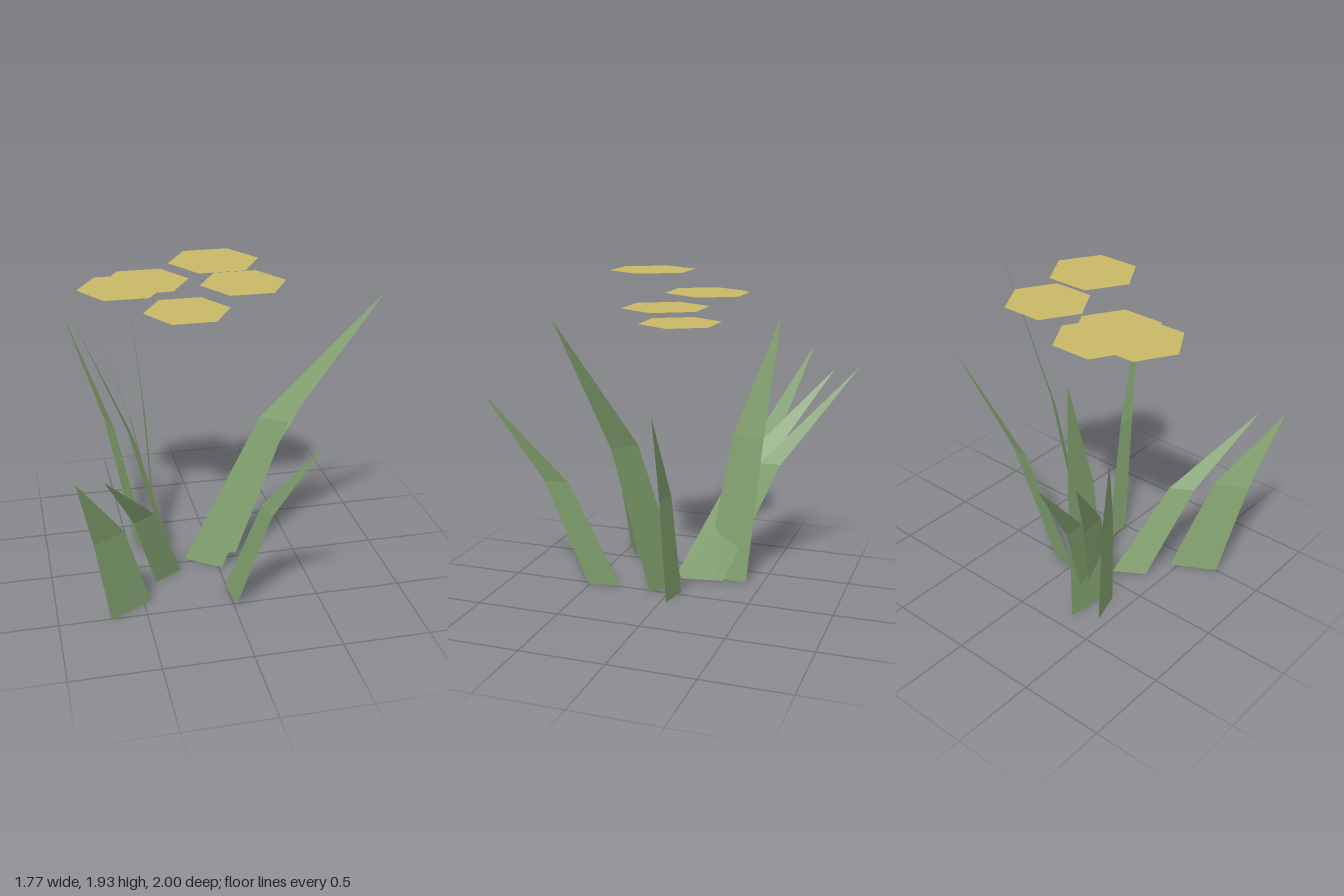
import * as THREE from 'three';

const leafGreen = new THREE.MeshStandardMaterial({ color: 0x84a471, side: THREE.DoubleSide });
leafGreen.name = 'leaf green';
const petalYellow = new THREE.MeshStandardMaterial({ color: 0xc9b867, side: THREE.DoubleSide });
petalYellow.name = 'petal yellow';

// Flat blade: a base edge on the ground, a narrower bent edge partway up, and a pointed tip
function makeBlade([ax, az], [bx, bz], [tx, ty, tz]) {
  const a = new THREE.Vector3(ax, 0, az);
  const b = new THREE.Vector3(bx, 0, bz);
  const tip = new THREE.Vector3(tx, ty, tz);
  const base = a.clone().add(b).multiplyScalar(0.5);
  const half = b.clone().sub(a).multiplyScalar(0.5 * 0.72);
  const mid = base.clone().lerp(tip, 0.41).setY(ty * 0.555);
  const left = mid.clone().sub(half);
  const right = mid.clone().add(half);
  const geometry = new THREE.BufferGeometry().setFromPoints(
    [a, b, right, a, right, left, left, right, tip]);
  geometry.computeVertexNormals();
  return new THREE.Mesh(geometry, leafGreen);
}

// Each blade: base corner (x, z), other base corner (x, z), tip (x, y, z)
const blades = [
  [[-0.18, -0.035], [0.02, 0.11], [0.88, 1.76, 0.305]],
  [[-0.04, -0.07], [0.14, -0.035], [0.8, 1.287, -0.187]],
  [[0.02, 0.51], [-0.005, 0.31], [0.342, 1.222, 1.0]],
  [[-0.705, 0.505], [-0.457, 0.36], [-0.886, 1.05, 0.822]],
  [[-0.4, 0.185], [-0.225, 0.075], [-0.738, 1.02, 0.778]],
  [[-0.385, -0.12], [-0.445, -0.32], [-0.797, 1.424, -0.685]],
  [[-0.245, 0.04], [-0.28, -0.2], [-0.713, 1.295, -0.83]],
  [[-0.287, -0.08], [-0.287, -0.26], [-0.615, 1.334, -0.995]],
  [[-0.33, -0.13], [-0.31, -0.4], [-0.42, 1.645, -0.555]],
];

// Flower heads: centre (x, y, z)
const flowers = [
  [-0.505, 1.75, -0.092],
  [-0.373, 1.772, -0.108],
  [-0.153, 1.615, -0.02],
  [0.172, 1.747, -0.044],
  [-0.03, 1.928, 0.1],
];

export function createModel() {
  const model = new THREE.Group();
  model.name = 'floweringPlant';

  const leaves = new THREE.Group();
  leaves.name = 'leaves';
  blades.forEach((blade, i) => {
    const mesh = makeBlade(...blade);
    mesh.name = `leaf${i + 1}`;
    leaves.add(mesh);
  });

  // Level hexagonal flower heads with corners along x
  const heads = new THREE.Group();
  heads.name = 'flowerHeads';
  const hexagon = new THREE.CircleGeometry(0.247, 6).rotateX(-Math.PI / 2);
  flowers.forEach((centre, i) => {
    const mesh = new THREE.Mesh(hexagon, petalYellow);
    mesh.position.set(...centre);
    mesh.name = `flowerHead${i + 1}`;
    heads.add(mesh);
  });

  model.add(leaves, heads);
  return model;
}
